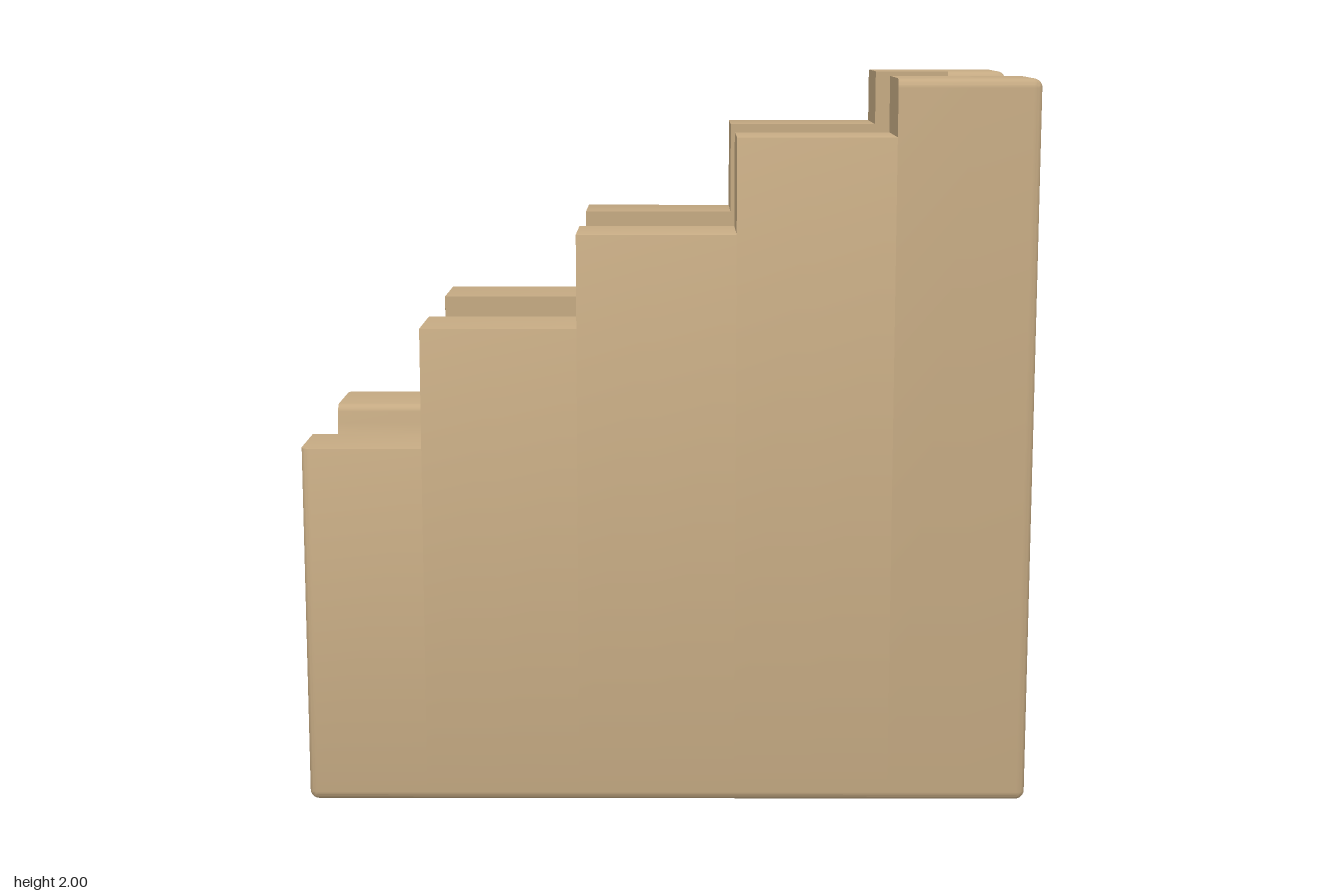
import * as THREE from 'three';
import { toCreasedNormals } from 'three/addons/utils/BufferGeometryUtils.js';

const HALF = 0.495;    // half width of the block
const R = 0.025;       // edge rounding
const CHANNEL = 0.238; // half width of the channel
const LIP = 0.03;      // rounding of the groove lips
const PIT = 0.1;       // floor of the lifter shafts
const ARC = 28;

// Outline of the block at one x, as [z, y] points running anticlockwise.
function section({ x, top, floor, depth, inset = 0, roundTop = false, topInset = 0 }) {
  const pts = [];
  const corner = (z, y, sz, sy, r, start) => {
    for (let i = 0; i <= 5; i++) {
      const a = start + (i / 5) * Math.PI / 2;
      pts.push([z - sz * r + r * Math.cos(a), y - sy * r + r * Math.sin(a)]);
    }
  };
  const w = HALF - inset;
  const r = Math.max(R - inset, 0.001);
  const rt = roundTop ? r : 0.001;
  const y = top - topInset;
  corner(-w, inset, -1, -1, r, Math.PI);
  corner(w, inset, 1, -1, r, Math.PI * 1.5);
  corner(w, y, 1, 1, rt, 0);

  // half of the lip, mirrored for the other side
  const a0 = 0.13;
  const half = 0.236;
  const edge = half * Math.cos(a0);
  const lip = [];
  for (let i = 0; i <= 5; i++) {
    const a = (i / 5) * Math.PI / 2;
    lip.push(depth
      ? [edge + LIP * (1 - Math.sin(a)), top - LIP + (LIP - topInset) * Math.cos(a)]
      : [CHANNEL, y]);
  }
  pts.push(...lip);
  // round groove, or a flat channel floor
  for (let i = 1; i < ARC; i++) {
    const a = a0 + (i / ARC) * (Math.PI - 2 * a0);
    if (depth) pts.push([half * Math.cos(a), top - depth * Math.sin(a)]);
    else {
      const end = i === 1 ? CHANNEL : i === ARC - 1 ? -CHANNEL : half * Math.cos(a);
      pts.push([end, floor]);
    }
  }
  pts.push(...lip.reverse().map(([z, v]) => [-z, v]));
  corner(-w, y, -1, 1, rt, Math.PI / 2);
  return { x, pts };
}

// Skin the sections in order of x and close both ends.
function loft(sections) {
  const n = sections[0].pts.length;
  const pos = [];
  const index = [];
  for (const s of sections) for (const [z, y] of s.pts) pos.push(s.x, y, z);
  for (let k = 0; k < sections.length - 1; k++) {
    for (let i = 0; i < n; i++) {
      const j = (i + 1) % n;
      const a = k * n + i, b = k * n + j, c = a + n, d = b + n;
      index.push(a, c, d, a, d, b);
    }
  }
  const cap = (s, base, flip) => {
    const outline = s.pts.map(([z, y]) => new THREE.Vector2(z, y));
    for (const [a, b, c] of THREE.ShapeUtils.triangulateShape(outline, [])) {
      if (flip) index.push(base + a, base + c, base + b);
      else index.push(base + a, base + b, base + c);
    }
  };
  cap(sections[0], 0, false);
  cap(sections[sections.length - 1], (sections.length - 1) * n, true);
  const geo = new THREE.BufferGeometry();
  geo.setAttribute('position', new THREE.Float32BufferAttribute(pos, 3));
  geo.setIndex(index);
  return toCreasedNormals(geo, 0.6);
}

export function createModel() {
  const group = new THREE.Group();
  group.name = 'marbleStairBlock';
  const wood = new THREE.MeshStandardMaterial({ color: 0xc4a982 });
  wood.name = 'tan wood';

  // Each stair: start of the shaft, end of the shaft, wall height, fixed step height
  const stairs = [
    [-0.67, -0.46, 1.33, 1.015],
    [-0.245, -0.035, 1.585, 1.275],
    [0.187, 0.397, 1.845, 1.53],
    [0.615, 0.828, 2.0, 1.775],
  ];
  const slope = 0.02;
  const sections = [];

  // Entry groove with a rounded end
  for (let i = 5; i >= 0; i--) {
    const a = (i / 5) * Math.PI / 2;
    sections.push(section({
      x: -1 + R * (1 - Math.sin(a)), top: 1, depth: 0.235, inset: R * (1 - Math.cos(a)),
    }));
  }
  sections.sort((p, q) => p.x - q.x);
  sections.push(section({ x: stairs[0][0], top: 1, depth: 0.258 }));

  // Lifter shafts and sloping fixed steps between the walls
  stairs.forEach(([x0, x1, top, step], i) => {
    const roundTop = i === 3;
    sections.push(section({ x: x0, top, floor: PIT, roundTop }));
    sections.push(section({ x: x1, top, floor: PIT, roundTop }));
    if (i < 3) {
      sections.push(section({ x: x1, top, floor: step }));
      sections.push(section({ x: stairs[i + 1][0], top, floor: step - slope }));
    }
  });

  // Exit groove with a rounded end
  sections.push(section({ x: stairs[3][1], top: 2, depth: 0.225, roundTop: true }));
  for (let i = 0; i <= 5; i++) {
    const a = (i / 5) * Math.PI / 2;
    const inset = R * (1 - Math.cos(a));
    sections.push(section({
      x: 1 - R * (1 - Math.sin(a)), top: 2, depth: 0.24, inset, roundTop: true, topInset: inset,
    }));
  }
  const body = new THREE.Mesh(loft(sections), wood);
  body.name = 'stairBody';
  group.add(body);

  // Lifters standing loose in the shafts, level with the step before
  stairs.forEach(([x0, x1], i) => {
    const top = (i ? stairs[i - 1][3] : 0.76) - slope - 0.004;
    const geo = new THREE.BoxGeometry(x1 - x0 - 0.018, top - PIT, 2 * CHANNEL - 0.02);
    geo.translate((x0 + x1) / 2, (top + PIT) / 2, 0);
    const p = geo.attributes.position;
    for (let k = 0; k < p.count; k++) {
      if (p.getY(k) > PIT + 0.01 && p.getX(k) > (x0 + x1) / 2) p.setY(k, top - slope);
    }
    geo.computeVertexNormals();
    const lifter = new THREE.Mesh(geo, wood);
    lifter.name = `lifter${i + 1}`;
    group.add(lifter);
  });

  return group;
}
